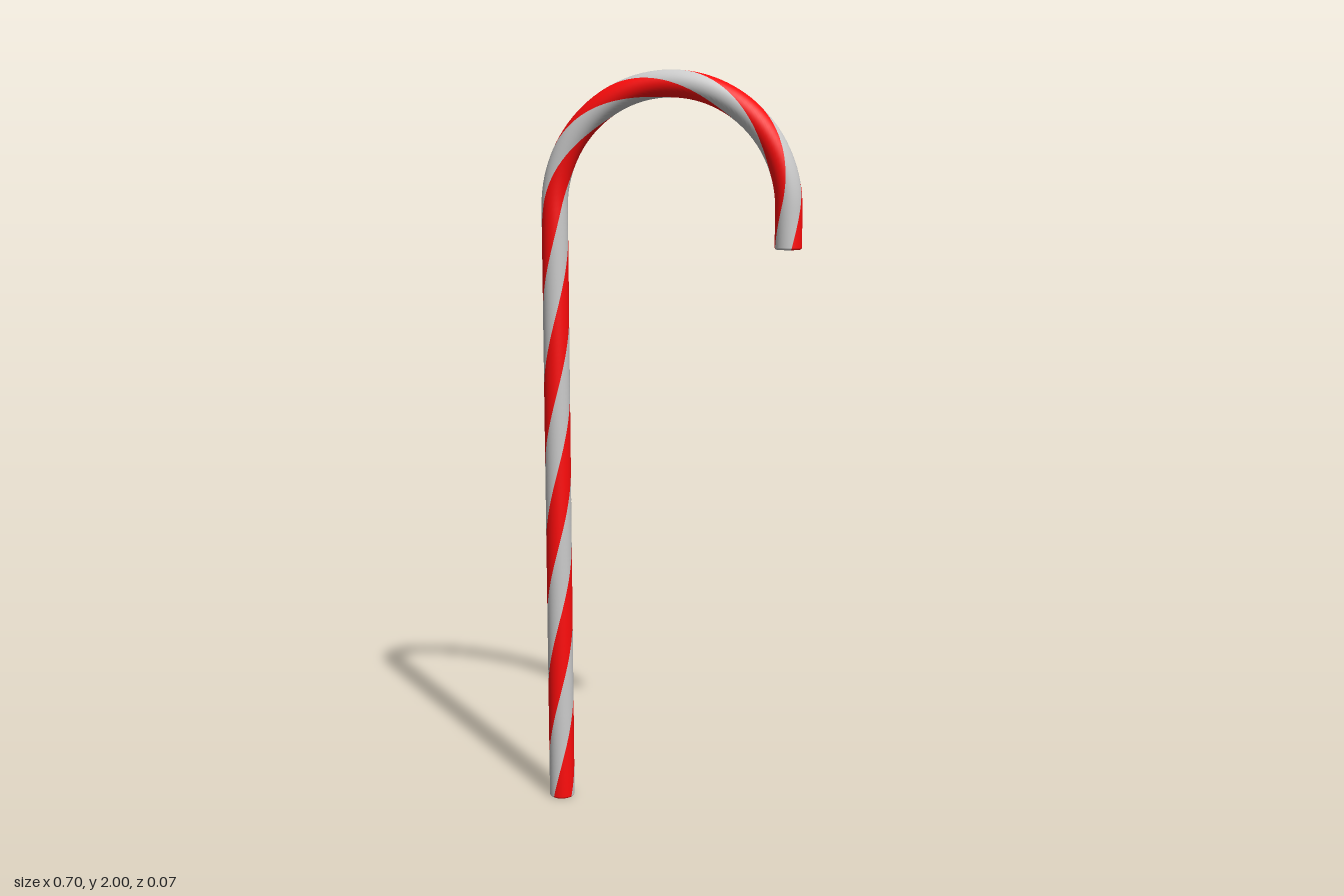
import * as THREE from 'three';

const R = 0.035;          // cane thickness (radius)
const BEND = 0.315;       // radius of the hook
const STEM = 1.65;        // height where the hook starts
const TIP = 0.105;        // straight end of the hook
const ARC = Math.PI * BEND;
const LENGTH = STEM + ARC + TIP;
const PITCH = 0.843;      // length of one full twist
const ROUND = 0.006;      // softened end edges

// Centre line: position, tangent and outward direction at distance s
function frame(s) {
  if (s < STEM) {
    return { p: new THREE.Vector3(-BEND, s, 0), t: new THREE.Vector3(0, 1, 0), o: new THREE.Vector3(-1, 0, 0) };
  }
  const a = Math.min((s - STEM) / BEND, Math.PI);
  const o = new THREE.Vector3(-Math.cos(a), Math.sin(a), 0);
  const t = new THREE.Vector3(Math.sin(a), Math.cos(a), 0);
  const p = o.clone().multiplyScalar(BEND).add(new THREE.Vector3(0, STEM, 0));
  p.addScaledVector(t, Math.max(0, s - STEM - ARC));
  return { p, t, o };
}

// Rings along the cane: distance, radius and tilt of the normal along the tangent
function makeRings() {
  const start = [{ s: 0, r: 0, tilt: -Math.PI / 2 }];
  for (let i = 0; i <= 4; i++) {
    const q = (i / 4) * Math.PI / 2;
    start.push({ s: ROUND * (1 - Math.cos(q)), r: R - ROUND + ROUND * Math.sin(q), tilt: q - Math.PI / 2 });
  }
  const end = start.map(({ s, r, tilt }) => ({ s: LENGTH - s, r, tilt: -tilt })).reverse();
  const middle = [];
  const n = 170;
  for (let i = 1; i < n; i++) {
    middle.push({ s: ROUND + (i / n) * (LENGTH - 2 * ROUND), r: R, tilt: 0 });
  }
  return [...start, ...middle, ...end];
}

// One twisted quarter of the cane, including its wedge of both end faces
function stripeGeometry(startAngle) {
  const rings = makeRings();
  const seg = 10;
  const pos = [], nor = [], idx = [];
  rings.forEach(({ s, r, tilt }, i) => {
    const { p, t, o } = frame(s);
    for (let j = 0; j <= seg; j++) {
      const a = startAngle + (j / seg) * Math.PI / 2 + (2 * Math.PI * s) / PITCH;
      const d = new THREE.Vector3(0, 0, Math.cos(a)).addScaledVector(o, -Math.sin(a));
      const v = p.clone().addScaledVector(d, r);
      const n = d.multiplyScalar(Math.cos(tilt)).addScaledVector(t, Math.sin(tilt));
      pos.push(v.x, v.y, v.z);
      nor.push(n.x, n.y, n.z);
      if (i < rings.length - 1 && j < seg) {
        const k = i * (seg + 1) + j, m = k + seg + 1;
        idx.push(k, k + 1, m + 1, k, m + 1, m);
      }
    }
  });
  const g = new THREE.BufferGeometry();
  g.setAttribute('position', new THREE.Float32BufferAttribute(pos, 3));
  g.setAttribute('normal', new THREE.Float32BufferAttribute(nor, 3));
  g.setIndex(idx);
  return g;
}

export function createModel() {
  const group = new THREE.Group();
  group.name = 'candyCane';
  const red = new THREE.MeshStandardMaterial({ color: 0xff0c0c });
  const pale = new THREE.MeshStandardMaterial({ color: 0xcccccc });

  // Four stripes, alternately red and pale
  for (let i = 0; i < 4; i++) {
    const isRed = i % 2 === 0;
    const start = THREE.MathUtils.degToRad(-25 + 90 * i);
    const mesh = new THREE.Mesh(stripeGeometry(start), isRed ? red : pale);
    mesh.name = (isRed ? 'redStripe' : 'paleStripe') + (Math.floor(i / 2) + 1);
    group.add(mesh);
  }
  return group;
}
